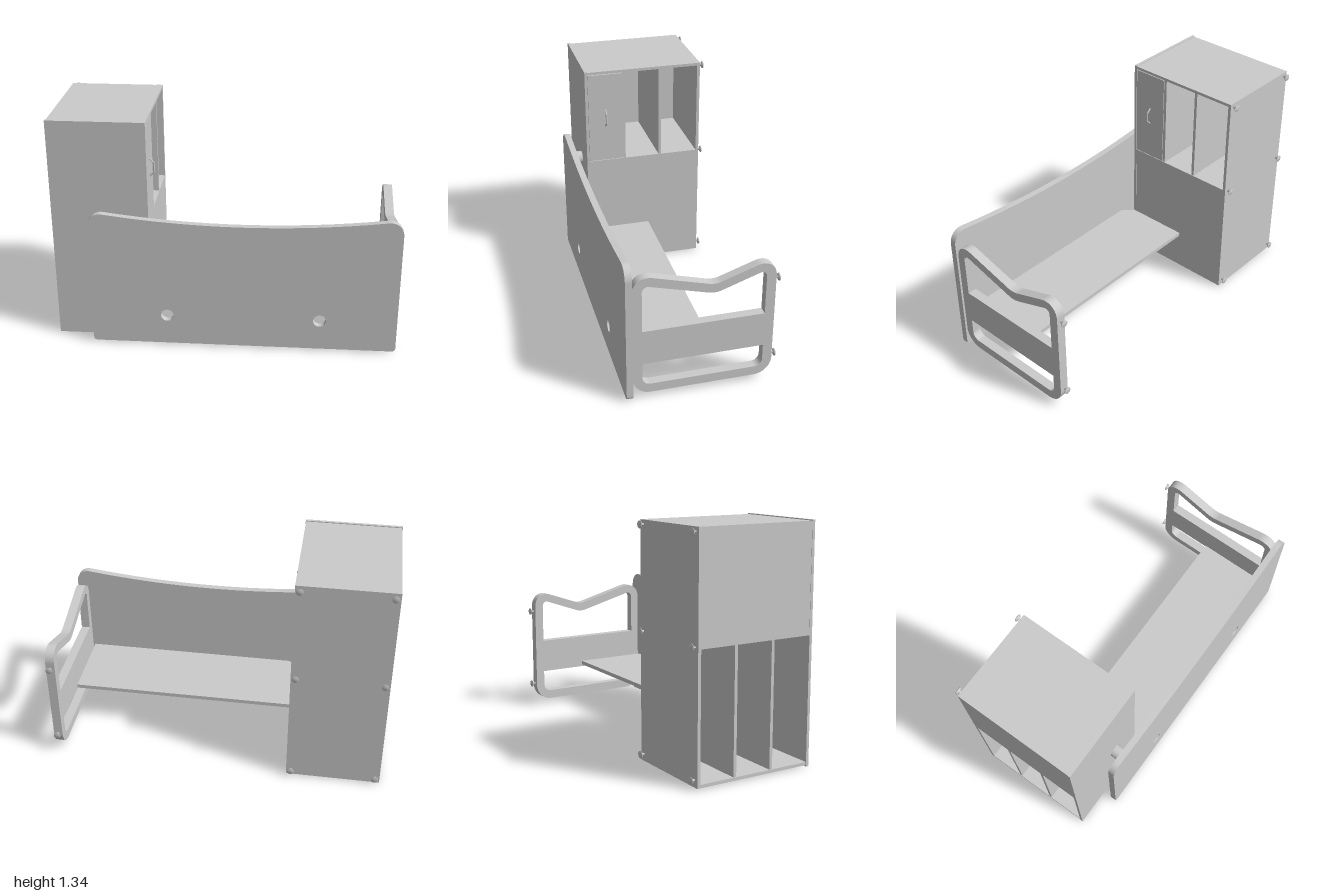
import * as THREE from 'three';

const material = new THREE.MeshStandardMaterial({ color: 0xcccccc });

// Traces a closed outline; each corner is [x, y, distance at which rounding starts].
function trace(path, corners) {
  const n = corners.length;
  corners.forEach(([x, y, cut = 0], i) => {
    const toward = (j, d) => {
      const [px, py] = corners[(j + n) % n];
      const len = Math.hypot(px - x, py - y);
      return [x + (px - x) * d / len, y + (py - y) * d / len];
    };
    const start = toward(i - 1, cut), end = toward(i + 1, cut);
    if (i === 0) path.moveTo(...start); else path.lineTo(...start);
    if (cut) path.bezierCurveTo(...toward(i - 1, cut * 0.45), ...toward(i + 1, cut * 0.45), ...end);
  });
  path.closePath();
  return path;
}

function extrude(shape, depth) {
  return new THREE.ExtrudeGeometry(shape, { depth, bevelEnabled: false, curveSegments: 16 });
}

export function createModel() {
  const model = new THREE.Group();

  function add(name, geometry, parent = model) {
    const mesh = new THREE.Mesh(geometry, material);
    mesh.name = name;
    parent.add(mesh);
    return mesh;
  }
  // Board given by its extents on each axis
  function board(name, [x0, x1], [y0, y1], [z0, z1], parent) {
    const mesh = add(name, new THREE.BoxGeometry(x1 - x0, y1 - y0, z1 - z0), parent);
    mesh.position.set((x0 + x1) / 2, (y0 + y1) / 2, (z0 + z1) / 2);
    return mesh;
  }

  // Cabinet: lower half opens to the right, upper half to the left
  const cabinet = new THREE.Group();
  cabinet.name = 'cabinet';
  model.add(cabinet);
  const X = [-0.998, -0.442], T = 0.018;
  board('cabinetFront', [-1, -0.44], [0, 1.342], [0.313, 0.33], cabinet);
  board('cabinetBack', X, [0.008, 1.337], [-0.397, -0.379], cabinet);
  const inside = [-0.379, 0.313];
  board('cabinetTop', X, [1.32, 1.337], inside, cabinet);
  board('cabinetMiddle', X, [0.729, 0.747], inside, cabinet);
  board('cabinetBottom', X, [0.008, 0.026], inside, cabinet);
  board('lowerClosedSide', [X[1] - T, X[1]], [0.026, 0.729], inside, cabinet);
  board('upperClosedSide', [X[0], X[0] + T], [0.747, 1.32], inside, cabinet);
  for (const z of [-0.16, 0.075])
    board('lowerDivider', [X[0] + 0.004, X[1] - T], [0.026, 0.729], [z - 0.009, z + 0.009], cabinet);
  for (const z of [-0.142, 0.09])
    board('upperDivider', [X[0] + T, X[1] - 0.004], [0.747, 1.32], [z - 0.009, z + 0.009], cabinet);
  board('door', [X[1] - T, X[1]], [0.75, 1.316], [0.099, 0.311], cabinet);

  // Bent door handle
  const handlePath = new THREE.CurvePath();
  const bends = [[-0.445, 1.088], [-0.417, 1.062], [-0.417, 1.005], [-0.445, 0.98]]
    .map(([x, y]) => new THREE.Vector3(x, y, 0.205));
  for (let i = 0; i < 3; i++) handlePath.add(new THREE.LineCurve3(bends[i], bends[i + 1]));
  add('doorHandle', new THREE.TubeGeometry(handlePath, 24, 0.005, 8), cabinet);

  // Curved front panel with two round holes
  const panel = new THREE.Shape();
  panel.moveTo(-0.75, 0.01);
  panel.lineTo(0.973, 0.01);
  panel.quadraticCurveTo(0.998, 0.01, 0.998, 0.035);
  panel.lineTo(0.998, 0.752);
  panel.bezierCurveTo(0.998, 0.8, 0.962, 0.837, 0.91, 0.83);
  panel.quadraticCurveTo(0.11, 0.722, -0.69, 0.828);
  panel.bezierCurveTo(-0.738, 0.833, -0.775, 0.798, -0.775, 0.75);
  panel.lineTo(-0.775, 0.035);
  panel.quadraticCurveTo(-0.775, 0.01, -0.75, 0.01);
  for (const x of [-0.333, 0.553])
    panel.holes.push(new THREE.Path().absarc(x, 0.195, 0.037, 0, Math.PI * 2, true));
  add('frontPanel', extrude(panel, 0.038)).position.z = 0.387;

  // Spacer between cabinet and front panel
  const spacer = add('panelSpacer', new THREE.CylinderGeometry(0.04, 0.04, 0.057, 32));
  spacer.rotation.x = Math.PI / 2;
  spacer.position.set(-0.635, 0.693, 0.3585);

  // Shelf with a clipped corner beside the cabinet, drawn as (x, -z)
  const shelf = add('shelf', extrude(trace(new THREE.Shape(), [
    [-0.44, 0.062], [-0.44, -0.325], [-0.38, -0.387], [0.92, -0.387], [0.92, 0.062],
  ]), 0.024));
  shelf.rotation.x = -Math.PI / 2;
  shelf.position.y = 0.242;

  // End frame with two openings, drawn as (z, y)
  const frame = trace(new THREE.Shape(), [
    [0.388, 0.035, 0.1], [0.388, 0.786, 0.115], [-0.059, 0.662, 0.035],
    [-0.395, 0.78, 0.115], [-0.395, 0.035, 0.1],
  ]);
  frame.holes.push(
    trace(new THREE.Path(), [
      [0.335, 0.433], [0.335, 0.716, 0.042], [-0.06, 0.608, 0.035], [-0.341, 0.708, 0.042], [-0.341, 0.433],
    ]),
    trace(new THREE.Path(), [
      [0.335, 0.089, 0.045], [0.335, 0.226], [-0.341, 0.226], [-0.341, 0.089, 0.045],
    ]));
  const endFrame = add('endFrame', extrude(frame, 0.053));
  endFrame.rotation.y = -Math.PI / 2;
  endFrame.position.x = 0.985;

  // Mounting knobs on the rear edges
  const knobProfile = [[0, 0], [0.006, 0], [0.006, 0.014], [0.017, 0.018], [0.021, 0.022], [0.021, 0.026], [0, 0.028]]
    .map(([r, h]) => new THREE.Vector2(r, h));
  const knobGeometry = new THREE.LatheGeometry(knobProfile, 20);
  const knobs = [[0.958, 0.635], [0.958, 0.145]];
  for (const x of [-0.97, -0.47]) for (const y of [1.312, 0.737, 0.047]) knobs.push([x, y]);
  for (const [x, y] of knobs) {
    const knob = add('rearKnob', knobGeometry);
    knob.rotation.x = -Math.PI / 2;
    knob.position.set(x, y, -0.396);
  }
  return model;
}
